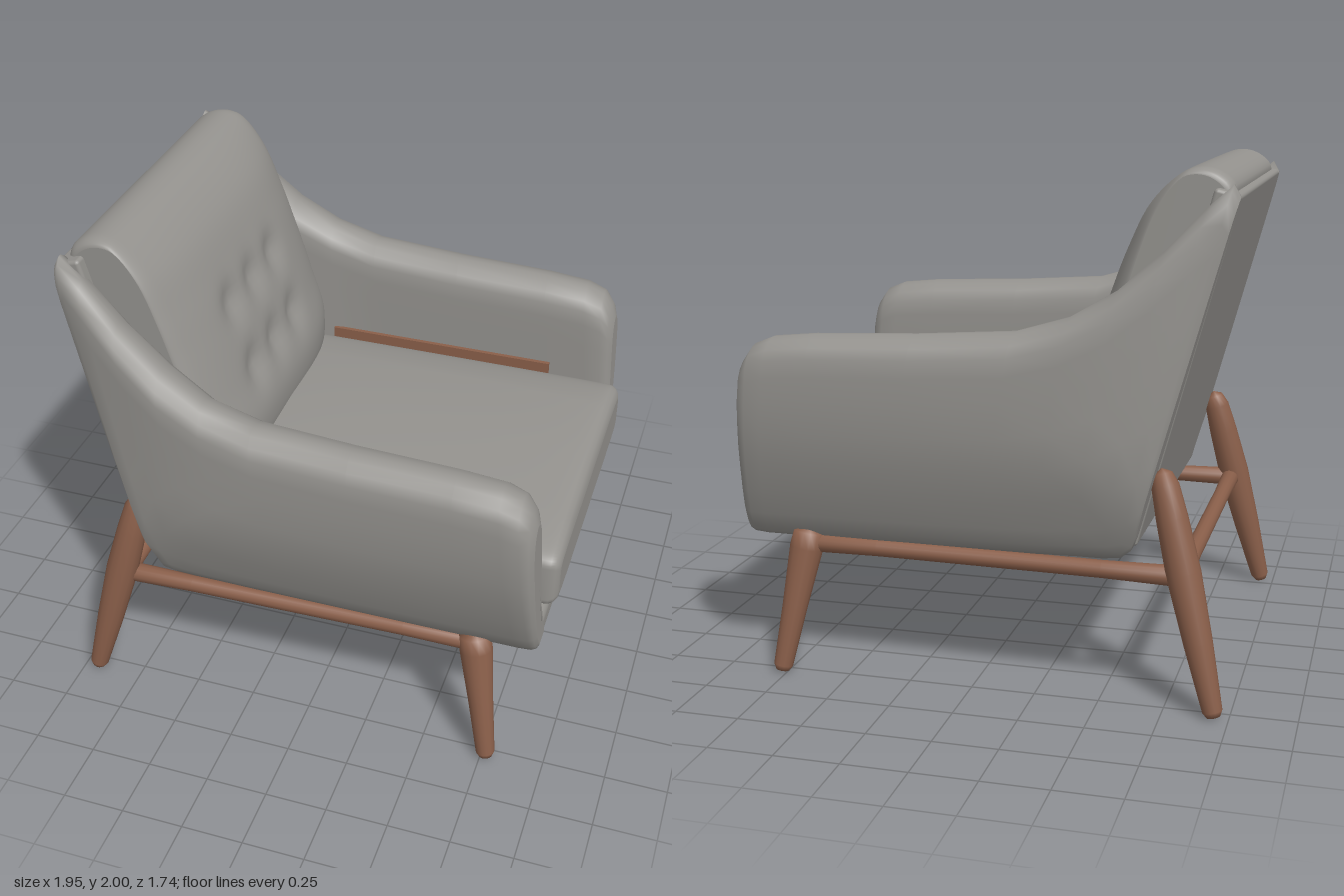
import * as THREE from 'three';
import { RoundedBoxGeometry } from 'three/addons/geometries/RoundedBoxGeometry.js';

const V = (x, y, z) => new THREE.Vector3(x, y, z);
const lerp = THREE.MathUtils.lerp;

// Piecewise-linear lookup in a list of [key, value] pairs
function table(pairs, k) {
  if (k <= pairs[0][0]) return pairs[0][1];
  for (let i = 1; i < pairs.length; i++) {
    const [a, va] = pairs[i - 1], [b, vb] = pairs[i];
    if (k <= b) return lerp(va, vb, (k - a) / (b - a));
  }
  return pairs[pairs.length - 1][1];
}

// Closed skin through equal-sized rings, with crisp flat end caps, always facing outward
function loft(rings) {
  const n = rings[0].length, pos = [], tri = [];
  rings.forEach(r => r.forEach(p => pos.push(p.x, p.y, p.z)));
  for (let i = 0; i < rings.length - 1; i++)
    for (let j = 0; j < n; j++) {
      const k = (j + 1) % n, a = i * n + j, b = i * n + k, c = a + n, d = b + n;
      tri.push([a, b, d], [a, d, c]);
    }
  [rings[0], rings[rings.length - 1]].forEach((ring, end) => {
    const base = pos.length / 3, mid = V(0, 0, 0);
    ring.forEach(p => { pos.push(p.x, p.y, p.z); mid.addScaledVector(p, 1 / n); });
    pos.push(mid.x, mid.y, mid.z);
    for (let j = 0; j < n; j++) {
      const k = (j + 1) % n;
      tri.push(end ? [base + j, base + k, base + n] : [base + k, base + j, base + n]);
    }
  });
  const at = i => V(pos[3 * i], pos[3 * i + 1], pos[3 * i + 2]);
  let volume = 0;
  tri.forEach(([a, b, c]) => { volume += at(a).dot(at(b).cross(at(c))); });
  const geo = new THREE.BufferGeometry();
  geo.setAttribute('position', new THREE.Float32BufferAttribute(pos, 3));
  geo.setIndex(tri.flatMap(([a, b, c]) => (volume < 0 ? [a, c, b] : [a, b, c])));
  geo.computeVertexNormals();
  return geo;
}

// Arm with its rising wing: slices from the sloping back edge to the upright front
function armGeometry(side) {
  // bottom x, y, top x, y, thickness factor
  const slices = [
    [-0.63, 0.64, -0.975, 1.9, 0.85], [-0.615, 0.6, -0.95, 1.945, 1], [-0.57, 0.56, -0.86, 1.865, 1],
    [-0.5, 0.55, -0.72, 1.715, 1], [-0.4, 0.55, -0.55, 1.565, 1], [-0.25, 0.545, -0.38, 1.465, 1],
    [-0.05, 0.545, -0.18, 1.405, 1], [0.3, 0.54, 0.2, 1.378, 1], [0.65, 0.54, 0.6, 1.362, 1],
    [0.85, 0.54, 0.77, 1.345, 1], [0.905, 0.545, 0.845, 1.315, 0.95],
    [0.925, 0.56, 0.885, 1.26, 0.82], [0.935, 0.58, 0.905, 1.2, 0.55],
  ];
  const heightOut = [[0.54, 0.7], [0.6, 0.745], [0.75, 0.8], [0.9, 0.845], [1.05, 0.868], [1.4, 0.872]];
  const lengthOut = [[-0.97, 0.73], [-0.75, 0.8], [-0.5, 0.85], [-0.2, 0.868], [0.8, 0.872]];
  const steps = [0, 0.015, 0.05, 0.12, 0.25, 0.4, 0.55, 0.7, 0.82, 0.9, 0.95, 0.985, 1];
  return loft(slices.map(([bx, by, tx, ty, f]) => {
    const out = [], inn = [];
    steps.forEach(t => {
      const x = lerp(bx, tx, t), y = lerp(by, ty, t);
      const zo = Math.min(table(heightOut, y), table(lengthOut, x));
      const zi = x < -0.4 ? 0.62 : 0.645;
      const inner = Math.min(zi, lerp(0.58, zi, Math.min(1, t * 8)));
      const gap = Math.max(0, 1 - (1 - t) * (ty - by) / 0.11);
      const half = (zo - inner) / 2 * f * Math.max(0.12, Math.sqrt(1 - gap * gap));
      const mid = (zo + inner) / 2;
      out.push(V(x, y, side * (mid + half)));
      inn.unshift(V(x, y, side * (mid - half)));
    });
    return [...out, ...inn];
  }));
}

// Back cushion: side profile swept across the width, with rounded ends and tufting
function backCushionGeometry() {
  const profile = new THREE.CatmullRomCurve3([
    [-0.95, 1.92], [-0.9, 1.98], [-0.82, 2], [-0.72, 1.965], [-0.6, 1.855], [-0.515, 1.69], [-0.45, 1.52],
    [-0.38, 1.3], [-0.325, 1.1], [-0.35, 0.95], [-0.5, 0.88], [-0.63, 0.98], [-0.77, 1.4],
  ].map(([x, y]) => V(x, y, 0)), true).getPoints(72).slice(0, -1);
  const rings = [], count = 48;
  for (let i = 0; i <= count; i++) {
    const u = Math.sin((i / count - 0.5) * Math.PI), z = 0.635 * u;
    const edge = Math.max(0, (Math.abs(z) - 0.575) / 0.06);
    const shrink = 1 - 0.1 * (1 - Math.sqrt(Math.max(0, 1 - edge * edge)));
    rings.push(profile.map(p => {
      let x = -0.65 + (p.x + 0.65) * shrink;
      const y = 1.45 + (p.y - 1.45) * (1 - (1 - shrink) * 0.45);
      const front = THREE.MathUtils.clamp((p.x + 0.62 + (p.y - 1.4) * 0.27) / 0.2, 0, 1);
      x -= front * 0.08 * Math.pow(Math.abs(u), 4);
      for (const by of [1.3, 1.57]) for (const bz of [-0.22, 0, 0.22])
        x -= front * 0.035 * Math.exp(-((y - by) ** 2 + (z - bz) ** 2) / 0.005);
      return V(x, y, z);
    }));
  }
  return loft(rings);
}

// Seat cushion: rounded-rectangle sections along the depth, crowned on top
function seatCushionGeometry() {
  const rings = [], count = 32, around = 56, x0 = -0.62, x1 = 0.975;
  const power = a => Math.sign(a) * Math.pow(Math.abs(a), 0.24);
  for (let i = 0; i <= count; i++) {
    const u = Math.sin((i / count - 0.5) * Math.PI), x = lerp(x0, x1, (u + 1) / 2);
    const edge = Math.max(0, 1 - Math.min(x - x0, x1 - x) / 0.05);
    const inset = 0.045 * (1 - Math.sqrt(1 - edge * edge));
    const ring = [];
    for (let j = 0; j < around; j++) {
      const a = j / around * Math.PI * 2, c = power(Math.cos(a)), s = power(Math.sin(a));
      const crown = s > 0 ? 0.075 * s * (1 - c * c) * Math.pow(1 - u * u, 0.4) : 0;
      ring.push(V(x, 0.83 + s * (0.13 - inset) + crown, c * (0.64 - inset)));
    }
    rings.push(ring);
  }
  return loft(rings);
}

export function createModel() {
  const chair = new THREE.Group();
  chair.name = 'armchair';
  const fabric = new THREE.MeshStandardMaterial({ color: 0x94928e });
  fabric.name = 'grey fabric';
  const wood = new THREE.MeshStandardMaterial({ color: 0x8a5f4a });
  wood.name = 'brown wood';
  const add = (name, geo, mat) => {
    const mesh = new THREE.Mesh(geo, mat);
    mesh.name = name;
    chair.add(mesh);
    return mesh;
  };
  // Turned rod from a to b; profile is a list of [radius, fraction of length]
  const rod = (name, a, b, profile) => {
    const length = a.distanceTo(b);
    const mesh = add(name, new THREE.LatheGeometry(
      profile.map(([r, t]) => new THREE.Vector2(r, t * length)), 14), wood);
    mesh.position.copy(a);
    mesh.quaternion.setFromUnitVectors(V(0, 1, 0), b.clone().sub(a).normalize());
  };

  // Upholstered shell
  const base = add('seatBase', new RoundedBoxGeometry(1.51, 0.145, 1.36, 4, 0.05), fabric);
  base.position.set(0.177, 0.615, 0);
  const back = add('backPanel', new RoundedBoxGeometry(0.1, 1.36, 1.36, 2, 0.015), fabric);
  back.position.set(-0.752, 1.263, 0);
  back.rotation.z = 0.263;
  add('backCushion', backCushionGeometry(), fabric);
  add('seatCushion', seatCushionGeometry(), fabric);

  // Arms, legs and side rails, mirrored
  const railProfile = [[0, 0], [0.04, 0], [0.034, 0.2], [0.034, 0.8], [0.04, 1], [0, 1]];
  for (const s of [1, -1]) {
    const label = s > 0 ? 'Left' : 'Right';
    add('arm' + label, armGeometry(s), fabric);
    rod('rearLeg' + label, V(-0.945, 0.004, s * 0.8), V(-0.715, 0.91, s * 0.69),
      [[0, 0], [0.026, 0.002], [0.038, 0.025], [0.055, 0.3], [0.066, 0.58], [0.06, 0.8], [0.052, 0.93], [0.035, 0.98], [0, 1]]);
    rod('frontLeg' + label, V(0.772, 0.004, s * 0.79), V(0.675, 0.58, s * 0.69),
      [[0, 0], [0.026, 0.003], [0.038, 0.04], [0.05, 0.45], [0.066, 0.85], [0.062, 0.96], [0, 1]]);
    rod('sideRail' + label, V(-0.8, 0.51, s * 0.72), V(0.69, 0.515, s * 0.69), railProfile);
    const strip = add('innerRail' + label, new THREE.BoxGeometry(1.0, 0.32, 0.03), wood);
    strip.position.set(0.15, 0.825, s * 0.642);
  }
  rod('rearRail', V(-0.8, 0.51, -0.72), V(-0.8, 0.51, 0.72), railProfile);
  return chair;
}
